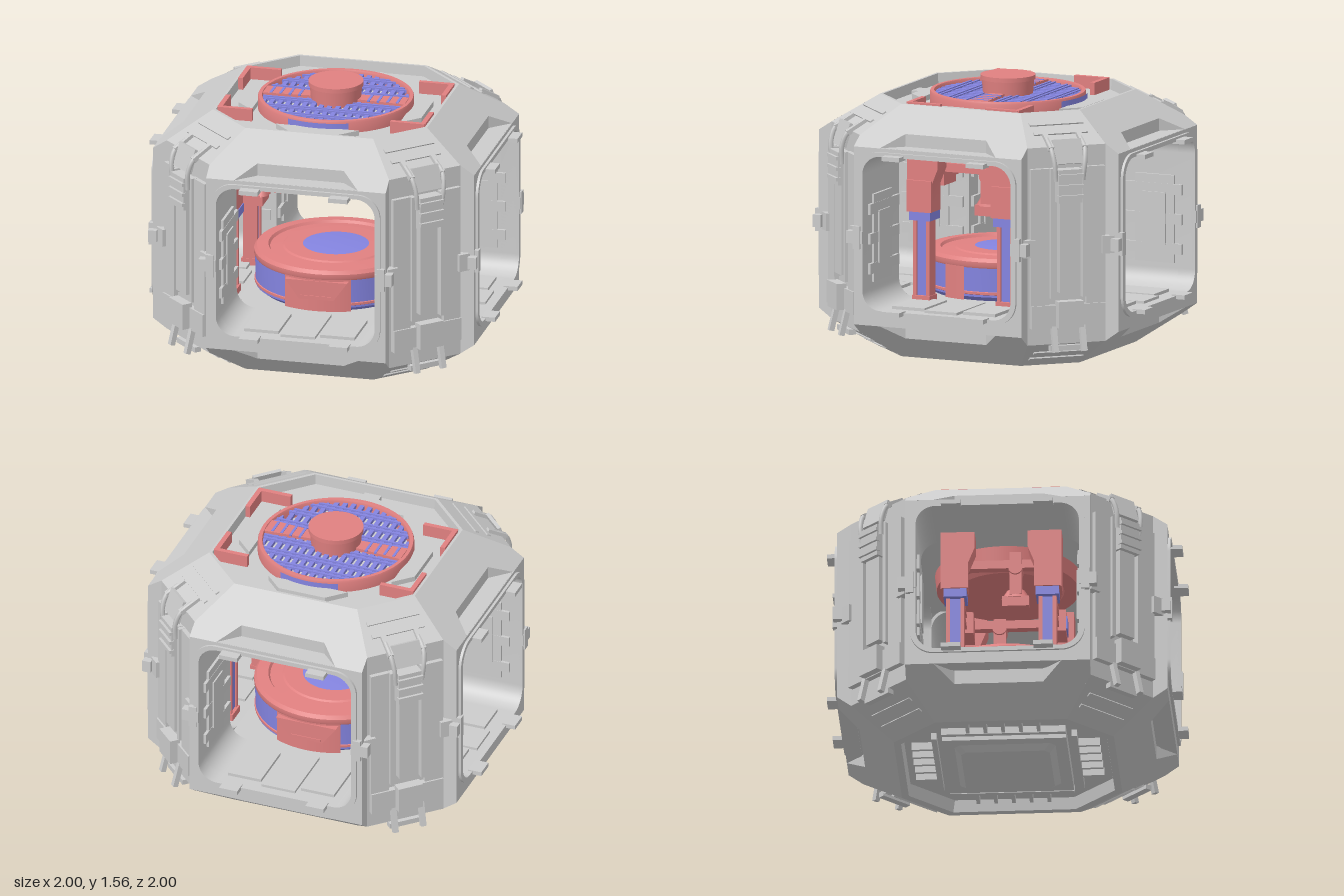
import * as THREE from 'three';
import { toCreasedNormals } from 'three/addons/utils/BufferGeometryUtils.js';

const mat = (color, side = THREE.FrontSide) => new THREE.MeshStandardMaterial({ color, side });
const grey = mat(0xcccccc), shellGrey = mat(0xcccccc, THREE.DoubleSide);
const pink = mat(0xe08080), blue = mat(0x8484e0);

function add(parent, name, geo, m, pos = [0, 0, 0], rot = [0, 0, 0]) {
  const mesh = new THREE.Mesh(geo, m);
  mesh.name = name;
  mesh.position.set(...pos);
  mesh.rotation.set(...rot);
  parent.add(mesh);
  return mesh;
}
const box = (p, name, m, size, pos, rot) => add(p, name, new THREE.BoxGeometry(...size), m, pos, rot);
const cyl = (p, name, m, r1, r2, h, pos, rot) => add(p, name, new THREE.CylinderGeometry(r1, r2, h, 64), m, pos, rot);

function group(parent, name, angle = 0) {
  const g = new THREE.Group();
  g.name = name;
  g.rotation.y = angle;
  parent.add(g);
  return g;
}

function fromVertices(v) {
  const g = new THREE.BufferGeometry();
  g.setAttribute('position', new THREE.Float32BufferAttribute(v, 3));
  g.computeVertexNormals();
  return g;
}

// Cut-corner square rings [half size, half edge, y], joined in order; openBand keeps only its corner faces
function octLoft(rings, openBand = -1) {
  const v = [];
  const ring = ([a, b, y]) => [[b, a], [a, b], [a, -b], [b, -a], [-b, -a], [-a, -b], [-a, b], [-b, a]].map(([x, z]) => [x, y, z]);
  for (let r = 0; r < rings.length - 1; r++) {
    const lo = ring(rings[r]), hi = ring(rings[r + 1]);
    for (let i = 0; i < 8; i++) {
      if (r === openBand && i % 2) continue;
      const j = (i + 1) % 8;
      v.push(...lo[i], ...lo[j], ...hi[j], ...lo[i], ...hi[j], ...hi[i]);
    }
  }
  return fromVertices(v);
}

function roundRect(C, w, y0, y1, r) {
  const s = new C();
  s.moveTo(-w + r, y0);
  s.lineTo(w - r, y0); s.absarc(w - r, y0 + r, r, -Math.PI / 2, 0);
  s.lineTo(w, y1 - r); s.absarc(w - r, y1 - r, r, 0, Math.PI / 2);
  s.lineTo(-w + r, y1); s.absarc(-w + r, y1 - r, r, Math.PI / 2, Math.PI);
  s.lineTo(-w, y0 + r); s.absarc(-w + r, y0 + r, r, Math.PI, Math.PI * 1.5);
  return s;
}
const poly = pts => new THREE.Shape(pts.map(p => new THREE.Vector2(...p)));
const extrude = (s, depth) => toCreasedNormals(new THREE.ExtrudeGeometry(s, { depth, curveSegments: 8, bevelEnabled: false }), 0.5);
const withDoor = s => { s.holes.push(roundRect(THREE.Path, 0.46, 0.33, 1.21, 0.11)); return s; };

// Sloped panel over or under a door, with a notch in its outer edge; height(z) gives the slope
function buildSlope(g, name, height, ledge) {
  const notch = [[0.36, 0.93], [0.25, 0.82], [-0.25, 0.82], [-0.36, 0.93]];
  const outline = [[-0.37, 0.62], [0.37, 0.62], [0.52, 0.85], [0.52, 0.93], ...notch, [-0.52, 0.93], [-0.52, 0.85]];
  const panel = new THREE.ShapeGeometry(poly(outline));
  const p = panel.attributes.position;
  for (let i = 0; i < p.count; i++) p.setXYZ(i, p.getX(i), height(p.getY(i)), p.getY(i));
  add(g, name + 'Slope', fromVertices(Array.from(panel.toNonIndexed().attributes.position.array)), shellGrey);
  const v = [];
  for (const path of [notch, [[0.52, 0.85], [0.52, 0.93]], [[-0.52, 0.93], [-0.52, 0.85]]])
    for (let i = 0; i < path.length - 1; i++) {
      const [x0, z0] = path[i], [x1, z1] = path[i + 1];
      const a = [x0, ledge, z0], b = [x1, ledge, z1], c = [x1, height(z1), z1], d = [x0, height(z0), z0];
      v.push(...a, ...b, ...c, ...a, ...c, ...d);
    }
  add(g, name + 'NotchWalls', fromVertices(v), shellGrey);
  box(g, name + 'NotchLedge', grey, [0.74, 0.012, 0.115], [0, ledge, 0.87]);
}

function buildSide(root, k) {
  const g = group(root, 'doorSide', k * Math.PI / 2);
  buildSlope(g, 'upper', z => 1.46 - (z - 0.62) * 0.66, 1.25);
  buildSlope(g, 'lower', z => 0.02 + (z - 0.62) * 0.71, 0.25);
  // wall, rim and passage lining
  add(g, 'doorWall', extrude(withDoor(poly([[-0.52, 0.24], [0.52, 0.24], [0.52, 1.255], [-0.52, 1.255]])), 0.09), grey, [0, 0, 0.84]);
  add(g, 'doorRim', extrude(withDoor(roundRect(THREE.Shape, 0.49, 0.305, 1.235, 0.13)), 0.02), grey, [0, 0, 0.925]);
  add(g, 'passageLining', extrude(withDoor(roundRect(THREE.Shape, 0.475, 0.315, 1.225, 0.12)), 0.46), shellGrey, [0, 0, 0.46]);
  for (const s of [-1, 1]) {
    // rim hooks
    box(g, 'upperHook', grey, [0.11, 0.025, 0.08], [s * 0.26, 1.21, 0.96]);
    box(g, 'lowerHook', grey, [0.11, 0.025, 0.08], [s * 0.26, 0.325, 0.96]);
    // clasp on the door edge
    box(g, 'clasp', grey, [0.1, 0.07, 0.05], [s * 0.51, 0.74, 0.925]);
    box(g, 'claspTab', grey, [0.045, 0.13, 0.05], [s * 0.495, 0.74, 0.93]);
    // passage wall panels
    box(g, 'wallPanel', grey, [0.02, 0.5, 0.24], [s * 0.455, 0.72, 0.7]);
    box(g, 'wallPanelInset', grey, [0.02, 0.3, 0.14], [s * 0.445, 0.72, 0.7]);
    for (const y of [0.55, 0.72, 0.89]) box(g, 'wallRib', grey, [0.02, 0.06, 0.38], [s * 0.453, y, 0.68]);
    box(g, 'floorPanel', grey, [0.2, 0.025, 0.3], [s * 0.22, 0.335, 0.7]);
  }
  box(g, 'floorStep', grey, [0.2, 0.02, 0.38], [0, 0.335, 0.7]);
  // raised wedge on the roof deck
  const wedge = extrude(poly([[-0.24, 0.43], [0.24, 0.43], [0.14, 0.53], [-0.14, 0.53]]), 0.03);
  add(g, 'deckWedge', wedge.rotateX(Math.PI / 2), grey, [0, 1.43, 0]);
  // ribbed channel under the hull
  for (let i = -2; i <= 2; i++) box(g, 'underRib', grey, [0.02, 0.05, 0.12], [i * 0.1, 0.07, 0.47]);
  box(g, 'underRail', grey, [0.7, 0.04, 0.03], [0, 0.06, 0.395]);
}

function buildCorner(root, k) {
  const g = group(root, 'cornerColumn', Math.PI / 4 + k * Math.PI / 2);
  box(g, 'columnFace', grey, [0.467, 1.125, 0.05], [0, 0.7455, 0.944]);
  for (const s of [-1, 1]) {
    box(g, 'sidePanel', grey, [0.11, 0.78, 0.03], [s * 0.165, 0.8, 0.98]);
    box(g, 'channelWall', grey, [0.025, 0.74, 0.045], [s * 0.095, 0.82, 0.988]);
    box(g, 'columnClamp', grey, [0.07, 0.1, 0.06], [s * 0.235, 0.74, 0.985]);
    box(g, 'strapArm', grey, [0.03, 0.03, 0.13], [s * 0.1, 1.33, 0.94], [0.515, 0, 0]);
    // handle loops
    const loop = new THREE.CatmullRomCurve3([[0.1, 1.345, 0.92], [0.1, 1.3, 0.995], [0.09, 1.22, 1.025], [0.08, 1.12, 1.02]]
      .map(p => new THREE.Vector3(s * p[0], p[1], p[2])));
    add(g, 'handleRod', new THREE.TubeGeometry(loop, 10, 0.014, 6), grey);
    box(g, 'lowerStrap', grey, [0.03, 0.22, 0.03], [s * 0.085, 0.25, 1.0], [-0.25, 0, 0]);
  }
  // latch tower
  box(g, 'spine', grey, [0.11, 0.56, 0.05], [0, 0.76, 0.99]);
  box(g, 'upperLatch', grey, [0.14, 0.19, 0.07], [0, 1.09, 1.005]);
  for (const y of [1.03, 1.09, 1.15]) box(g, 'latchBar', grey, [0.15, 0.02, 0.03], [0, y, 1.04]);
  box(g, 'topPlate', grey, [0.17, 0.14, 0.02], [0, 1.28, 0.985], [-0.3, 0, 0]);
  box(g, 'columnSkirt', grey, [0.44, 0.13, 0.04], [0, 0.345, 0.985]);
  box(g, 'lowerLatch', grey, [0.15, 0.15, 0.06], [0, 0.36, 1.02]);
  box(g, 'lowerHookBar', grey, [0.2, 0.03, 0.04], [0, 0.16, 0.965]);
  // raised strips on upper and lower slopes
  for (const t of [0.35, 0.62]) {
    const d = 0.7 + 0.269 * t;
    box(g, 'upperStrip', grey, [0.32, 0.016, 0.025], [0, 1.46 - 0.152 * t, d], [0.515, 0, 0]);
    box(g, 'lowerStrip', grey, [0.32, 0.016, 0.025], [0, 0.02 + 0.163 * t, d], [-0.545, 0, 0]);
  }
}

function buildFan(root) {
  const g = group(root, 'roofFan');
  const ring = [[0.41, 1.4], [0.44, 1.4], [0.44, 1.46], [0.435, 1.472], [0.415, 1.472], [0.41, 1.46], [0.41, 1.4]];
  add(g, 'fanRing', toCreasedNormals(new THREE.LatheGeometry(ring.map(p => new THREE.Vector2(...p)), 64), 0.5), pink);
  // grille bars clipped to the ring
  const chord = o => 2 * Math.sqrt(0.412 ** 2 - o * o);
  for (let i = -8; i <= 8; i++) box(g, 'grilleBar', blue, [0.026, 0.02, chord(i * 0.048)], [i * 0.048, 1.445, 0]);
  for (const o of [0.075, 0.105, 0.2, 0.23, 0.31, 0.34]) for (const s of [-1, 1]) {
    box(g, 'crossBar', blue, [chord(o), 0.018, 0.014], [0, 1.452, s * o]);
  }
  for (const s of [-1, 1]) {
    add(g, 'fanSpoke', extrude(poly([[0.12, -0.04], [0.41, -0.06], [0.41, 0.06], [0.12, 0.04]]), 0.02), pink,
      [0, 1.45, 0], [-Math.PI / 2, 0, s > 0 ? 0 : Math.PI]);
    add(g, 'blueEdge', new THREE.CylinderGeometry(0.448, 0.448, 0.06, 24, 1, true, s > 0 ? -0.4 : Math.PI - 0.4, 0.8), blue, [0, 1.43, 0]);
    for (let i = 0; i < 4; i++) box(g, 'spokeBar', blue, [0.015, 0.01, 0.1], [s * (0.2 + i * 0.055), 1.468, 0]);
  }
  cyl(g, 'hub', pink, 0.148, 0.14, 0.1, [0, 1.49, 0]);
  cyl(g, 'hubCap', pink, 0.155, 0.155, 0.025, [0, 1.5475, 0]);
  // roof brackets
  for (const x of [-1, 1]) for (const z of [-1, 1]) {
    box(g, 'bracketLong', pink, [0.2, 0.07, 0.028], [x * 0.5, 1.435, z * 0.335]);
    box(g, 'bracketShort', pink, [0.028, 0.07, 0.2], [x * 0.588, 1.435, z * 0.24]);
  }
}

function buildInterior(root) {
  const g = group(root, 'interior');
  box(g, 'floor', grey, [0.96, 0.03, 0.96], [0, 0.315, 0]);
  box(g, 'ceiling', grey, [0.96, 0.03, 0.96], [0, 1.225, 0]);
  // round central platform
  const lathe = (name, pts, m) => add(g, name, toCreasedNormals(new THREE.LatheGeometry(pts.map(p => new THREE.Vector2(...p)), 64), 0.5), m);
  lathe('platformBody', [[0, 0.335], [0.42, 0.335], [0.452, 0.36], [0.455, 0.53], [0.43, 0.53]], blue);
  lathe('platformTop', [[0.455, 0.525], [0.46, 0.535], [0.46, 0.56], [0.445, 0.58], [0.38, 0.585], [0.37, 0.57], [0.3, 0.575], [0.29, 0.583], [0.18, 0.585]], pink);
  lathe('platformCentre', [[0.2, 0.583], [0.17, 0.587], [0, 0.587]], blue);
  lathe('platformBand', [[0.452, 0.372], [0.458, 0.375], [0.458, 0.388], [0.452, 0.391]], pink);
  for (const s of [0, 1]) {
    const p = group(g, 'platformPanels', s * Math.PI);
    const curved = (start, sweep) => new THREE.CylinderGeometry(0.46, 0.46, 0.19, 16, 1, true, start, sweep);
    add(p, 'frontPanel', curved(-0.43, 0.86), pink, [0, 0.435, 0]);
    add(p, 'frontPlate', extrude(poly([[-0.1, 0.41], [0.1, 0.41], [0.18, 0.52], [-0.18, 0.52]]), 0.04), pink, [0, 0, 0.425]);
    box(p, 'plateSlot', pink, [0.18, 0.015, 0.02], [0, 0.425, 0.46]);
    add(p, 'sidePanel', curved(Math.PI / 2 - 0.43, 0.3), pink, [0, 0.435, 0]);
  }
  // ceiling drum
  cyl(g, 'ceilingDrum', pink, 0.41, 0.4, 0.09, [0, 1.155, 0]);
  cyl(g, 'drumLip', pink, 0.32, 0.3, 0.03, [0, 1.1, 0]);

  for (const s of [0, 1]) {
    const h = group(g, 'liftAssembly', s * Math.PI);
    for (const z of [-0.26, 0.26]) {
      const d = Math.sign(z);
      // upright rail
      box(h, 'railCore', blue, [0.06, 0.5, 0.06], [0.55, 0.58, z]);
      for (const e of [-0.04, 0.04]) box(h, 'railEdge', pink, [0.08, 0.5, 0.022], [0.55, 0.58, z + e]);
      box(h, 'railFoot', pink, [0.1, 0.04, 0.11], [0.55, 0.35, z]);
      // upper housing
      const shape = poly([[-0.07, 0.85], [0.08, 0.85], [0.08, 1.2], [-0.11, 1.2], [-0.11, 1.1], [-0.07, 1.0]]);
      add(h, 'housing', extrude(shape, 0.12), pink, [d > 0 ? 0.61 : 0.49, 0, z], [0, -d * Math.PI / 2, 0]);
      box(h, 'housingCollar', blue, [0.13, 0.05, 0.13], [0.55, 0.825, z]);
      box(h, 'housingLip', pink, [0.02, 0.18, 0.15], [0.615, 0.94, z]);
      // inner carriage
      box(h, 'carriage', pink, [0.16, 0.13, 0.1], [0.32, 1.035, z]);
      box(h, 'carriageLink', pink, [0.16, 0.05, 0.06], [0.46, 1.07, z]);
      for (const y of [1.005, 1.075]) box(h, 'crossRod', pink, [0.26, 0.025, 0.025], [0.13, y, z]);
    }
    box(h, 'carriageLamp', blue, [0.12, 0.075, 0.01], [0.33, 1.035, 0.312]);
    // hanging arm and gripper
    box(h, 'armUpper', pink, [0.07, 0.26, 0.07], [0.4, 1.02, -0.07]);
    cyl(h, 'armJoint', pink, 0.04, 0.04, 0.1, [0.4, 1.05, -0.07], [0, 0, Math.PI / 2]);
    box(h, 'armBrace', pink, [0.05, 0.05, 0.5], [0.4, 1.08, 0]);
    add(h, 'gripper', new THREE.CylinderGeometry(0.05, 0.08, 0.05, 8), pink, [0.4, 0.9, -0.07]).scale.x = 0.5;
    box(h, 'gripperJaw', pink, [0.04, 0.06, 0.15], [0.41, 0.85, -0.07]);
  }
}

export function createModel() {
  const root = new THREE.Group();
  root.name = 'pod';
  // roof and hull corners with recessed decks
  add(root, 'roof', octLoft([[0.85, 0.52, 1.308], [0.62, 0.37, 1.46], [0.605, 0.36, 1.46], [0.6, 0.357, 1.4], [0, 0, 1.4]], 0), shellGrey);
  add(root, 'hull', octLoft([[0, 0, 0.09], [0.57, 0.335, 0.09], [0.58, 0.345, 0.02], [0.62, 0.37, 0.02], [0.85, 0.52, 0.183]], 3), shellGrey);
  for (let k = 0; k < 4; k++) {
    buildSide(root, k);
    buildCorner(root, k);
  }
  // belly plate
  box(root, 'bellyBlock', grey, [0.7, 0.06, 0.7], [0, 0.06, 0]);
  add(root, 'bellyPlate', octLoft([[0, 0, 0], [0.25, 0.22, 0], [0.29, 0.26, 0.035]]), grey);
  box(root, 'deckTab', grey, [0.1, 0.03, 0.05], [0, 1.415, 0.55]);
  buildFan(root);
  buildInterior(root);
  return root;
}
